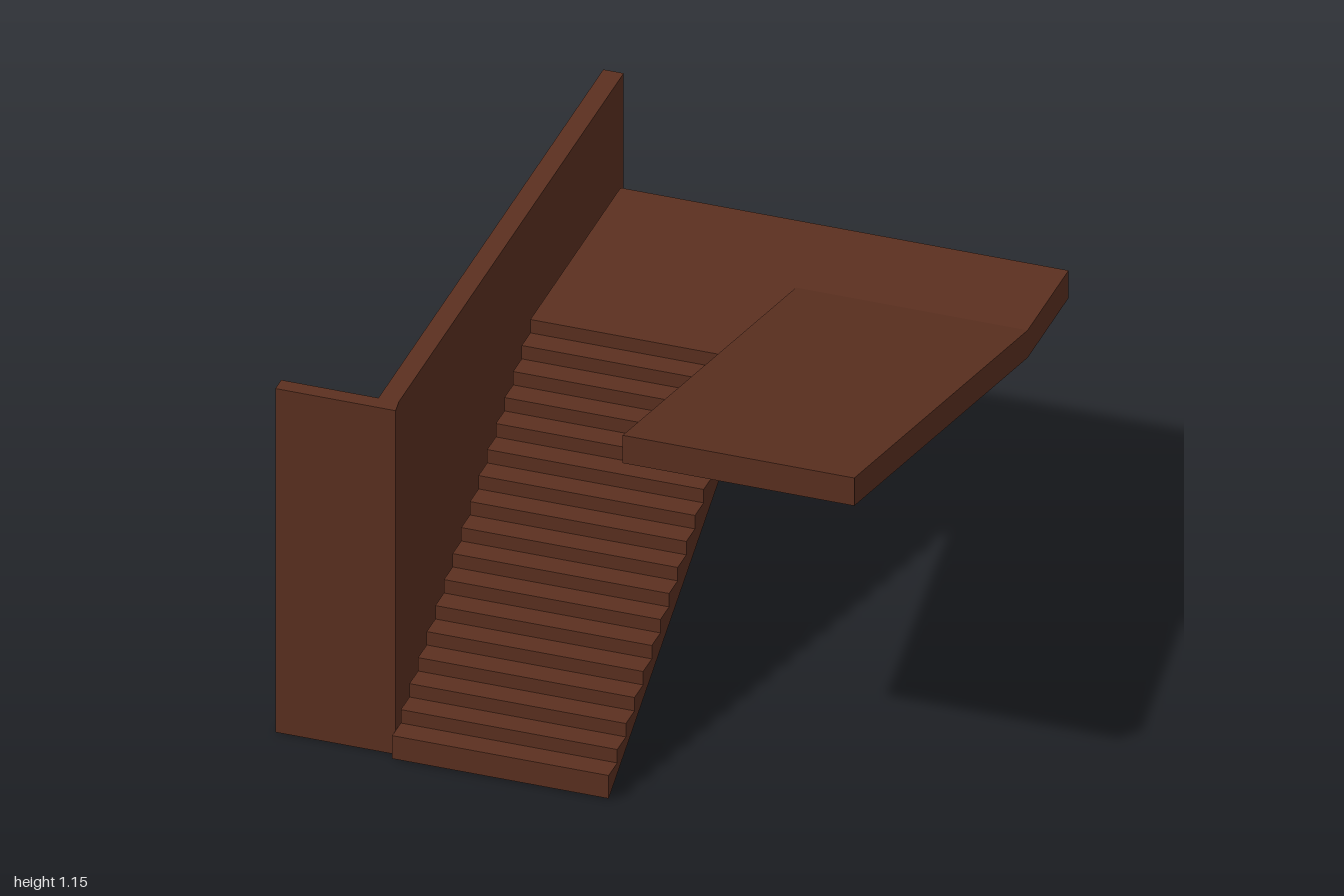
import * as THREE from 'three';

const material = new THREE.MeshStandardMaterial({ color: 0x5c3020, flatShading: true });

const toShape = (points) => new THREE.Shape(points.map(([a, b]) => new THREE.Vector2(a, b)));

function addMesh(group, name, geometry) {
  const mesh = new THREE.Mesh(geometry, material);
  mesh.name = name;
  group.add(mesh);
}

// Side profile of [z, y] points, extruded across the width from x0 to x1
function sideProfile(points, x0, x1) {
  return new THREE.ExtrudeGeometry(toShape(points), { depth: x1 - x0, bevelEnabled: false })
    .rotateY(-Math.PI / 2)
    .translate(x1, 0, 0);
}

// Floor plan of [x, z] points, raised from the ground to the given height
function floorPlan(points, height) {
  return new THREE.ExtrudeGeometry(toShape(points), { depth: height, bevelEnabled: false })
    .rotateX(Math.PI / 2)
    .translate(0, height, 0);
}

export function createModel() {
  const group = new THREE.Group();
  group.name = 'staircase';

  const left = -0.5, middle = 0.157, right = 0.86;
  const landingTop = 0.797, landingBottom = 0.705;
  const landingBack = -0.95, landingFront = -0.6;

  // Lower flight: sawtooth steps over a sloping soffit, joined to the landing
  const steps = 16, firstRise = 0.08, stairTopZ = -0.18;
  const rise = (landingTop - firstRise) / steps;
  const going = (1 - stairTopZ) / steps;
  const profile = [[1, 0.003], [1, firstRise]];
  for (let i = 1; i <= steps; i++) {
    const z = 1 - i * going;
    profile.push([z, firstRise + (i - 1) * rise], [z, firstRise + i * rise]);
  }
  profile.push([landingFront, landingTop], [landingFront, landingBottom], [-0.26, landingBottom]);
  addMesh(group, 'lowerFlight', sideProfile(profile, left, middle));

  // Half landing across both flights
  addMesh(group, 'landing', sideProfile([
    [landingFront, landingBottom], [landingFront, landingTop],
    [landingBack, landingTop], [landingBack, landingBottom],
  ], left, right));

  // Upper flight: smooth ramp returning to the front
  addMesh(group, 'upperRamp', sideProfile([
    [landingFront, landingBottom], [0.88, 1.057],
    [0.88, 1.15], [landingFront, landingTop],
  ], middle, right));

  // Side wall with a short return at the front
  addMesh(group, 'cornerWall', floorPlan([
    [-0.57, -1], [-0.508, -1], [-0.508, 0.92], [-0.5, 0.97],
    [-0.865, 0.97], [-0.865, 0.92], [-0.57, 0.92],
  ], 1.15));

  return group;
}
